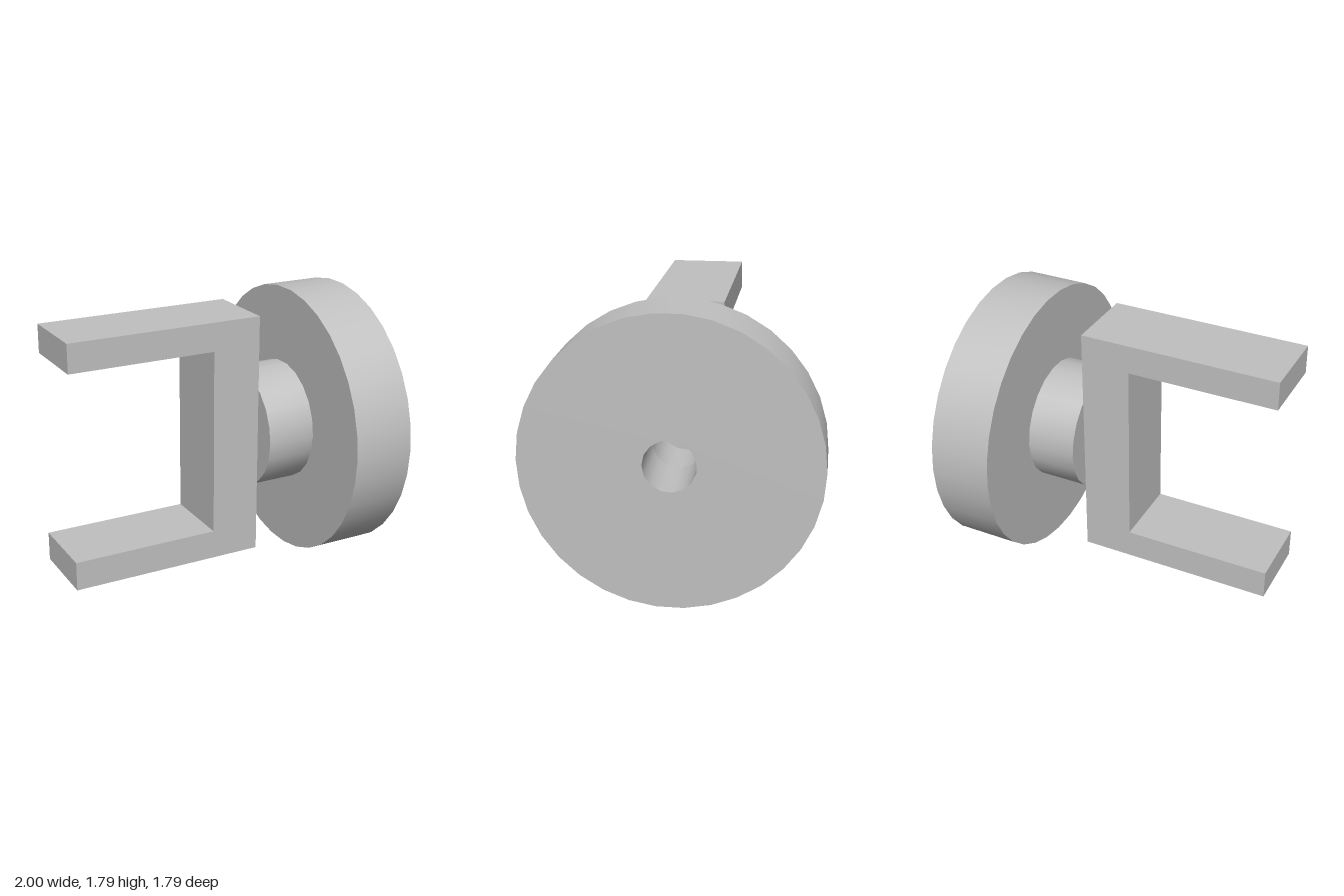
import * as THREE from 'three';
import { toCreasedNormals } from 'three/addons/utils/BufferGeometryUtils.js';

const AXIS_Y = 0.894;

// Regular polygon, first corner pointing to -x of the shape (+z once turned)
function ring(radius, sides) {
  return Array.from({ length: sides }, (_, i) => {
    const a = Math.PI + (i / sides) * Math.PI * 2;
    return new THREE.Vector2(Math.cos(a) * radius, Math.sin(a) * radius);
  });
}

// Bored cylinder lying along x, with smooth walls and sharp rims
function boredCylinder(radius, sides, x0, x1) {
  const shape = new THREE.Shape(ring(radius, sides));
  shape.holes.push(new THREE.Path(ring(0.16, 15)));
  const solid = new THREE.ExtrudeGeometry(shape, { depth: x1 - x0, bevelEnabled: false });
  solid.rotateY(Math.PI / 2).translate(x0, AXIS_Y, 0);
  return toCreasedNormals(solid, 0.6);
}

export function createModel() {
  const model = new THREE.Group();
  model.name = 'forkedCoupling';
  const metal = new THREE.MeshStandardMaterial({ color: 0xc0c0c0 });
  metal.name = 'light grey metal';

  function add(name, geometry) {
    const mesh = new THREE.Mesh(geometry, metal);
    mesh.name = name;
    model.add(mesh);
  }

  // U-shaped fork, open towards -x
  const outline = [
    [-1, 0.1], [0.28, 0.1], [0.28, 1.695], [-1, 1.695],
    [-1, 1.51], [-0.04, 1.51], [-0.04, 0.29], [-1, 0.29],
  ].map(([x, y]) => new THREE.Vector2(x, y));
  const fork = new THREE.ExtrudeGeometry(new THREE.Shape(outline), { depth: 0.48, bevelEnabled: false });
  add('fork', fork.translate(0, 0, -0.24));

  // Hub and flange share a blind bore that ends at the fork
  add('hub', boredCylinder(0.398, 22, 0.28, 0.6));
  add('flange', boredCylinder(0.897, 34, 0.6, 1));

  return model;
}
